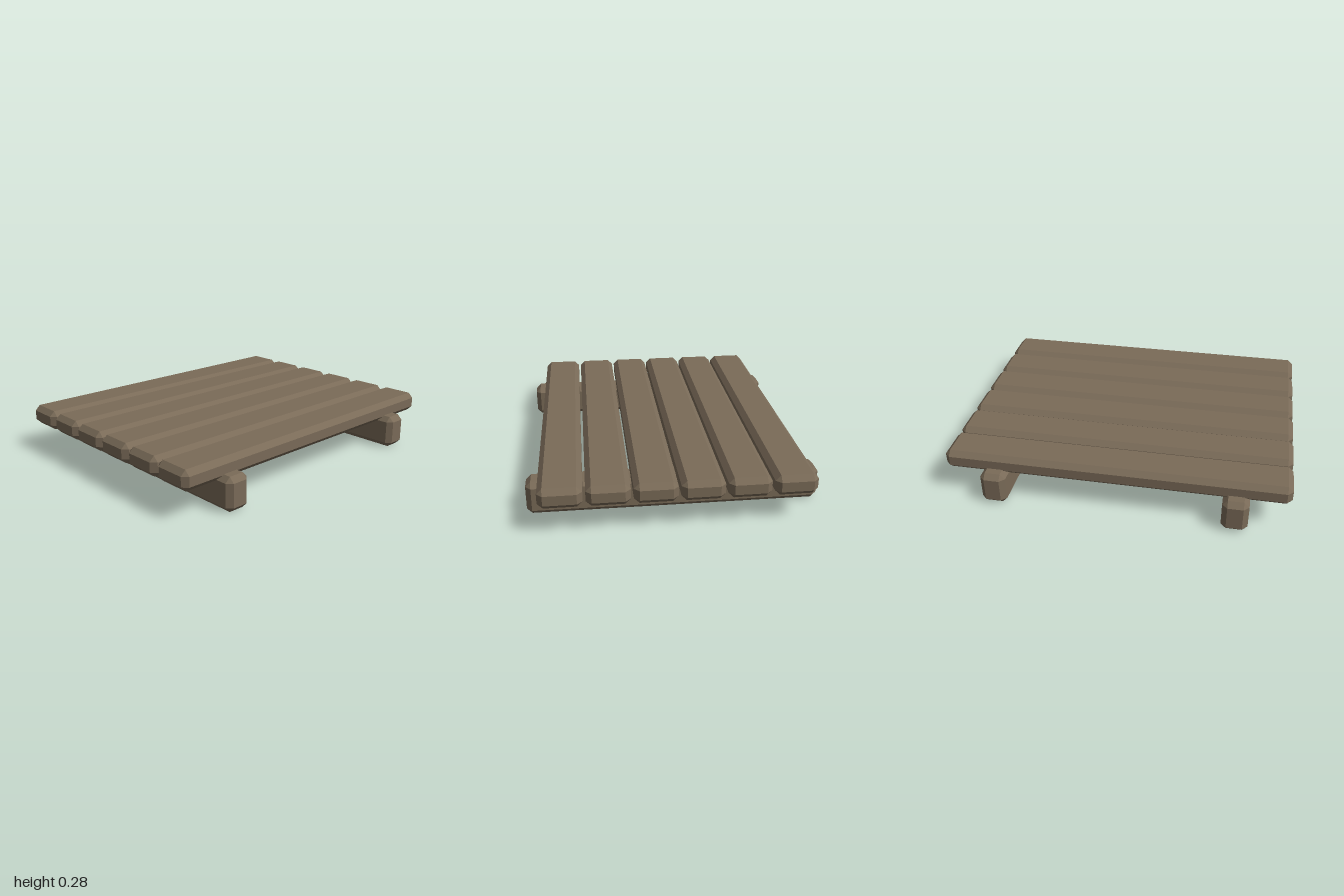
import * as THREE from 'three';
import { ConvexGeometry } from 'three/addons/geometries/ConvexGeometry.js';

// Box with flat chamfers on every edge and corner
function chamferedBox(w, h, d, c) {
  const points = [];
  for (const sx of [-1, 1]) for (const sy of [-1, 1]) for (const sz of [-1, 1]) {
    const x = w / 2, y = h / 2, z = d / 2;
    points.push(
      new THREE.Vector3(sx * x, sy * (y - c), sz * (z - c)),
      new THREE.Vector3(sx * (x - c), sy * y, sz * (z - c)),
      new THREE.Vector3(sx * (x - c), sy * (y - c), sz * z)
    );
  }
  return new ConvexGeometry(points);
}

export function createModel() {
  const group = new THREE.Group();
  const wood = new THREE.MeshStandardMaterial({ color: 0x7a6b58 });
  wood.name = 'weathered wood';

  const add = (name, geometry, x, y, z) => {
    const mesh = new THREE.Mesh(geometry, wood);
    mesh.name = name;
    mesh.position.set(x, y, z);
    group.add(mesh);
  };

  // Six deck planks running front to back
  const plank = chamferedBox(0.238, 0.117, 2, 0.03);
  for (let i = 0; i < 6; i++) add(`plank${i + 1}`, plank, (i - 2.5) * 0.2525, 0.2205, 0);

  // Two cross beams beneath the deck
  const beam = chamferedBox(1.65, 0.197, 0.15, 0.03);
  add('frontBeam', beam, 0, 0.0985, 0.697);
  add('backBeam', beam, 0, 0.0985, -0.697);

  return group;
}
